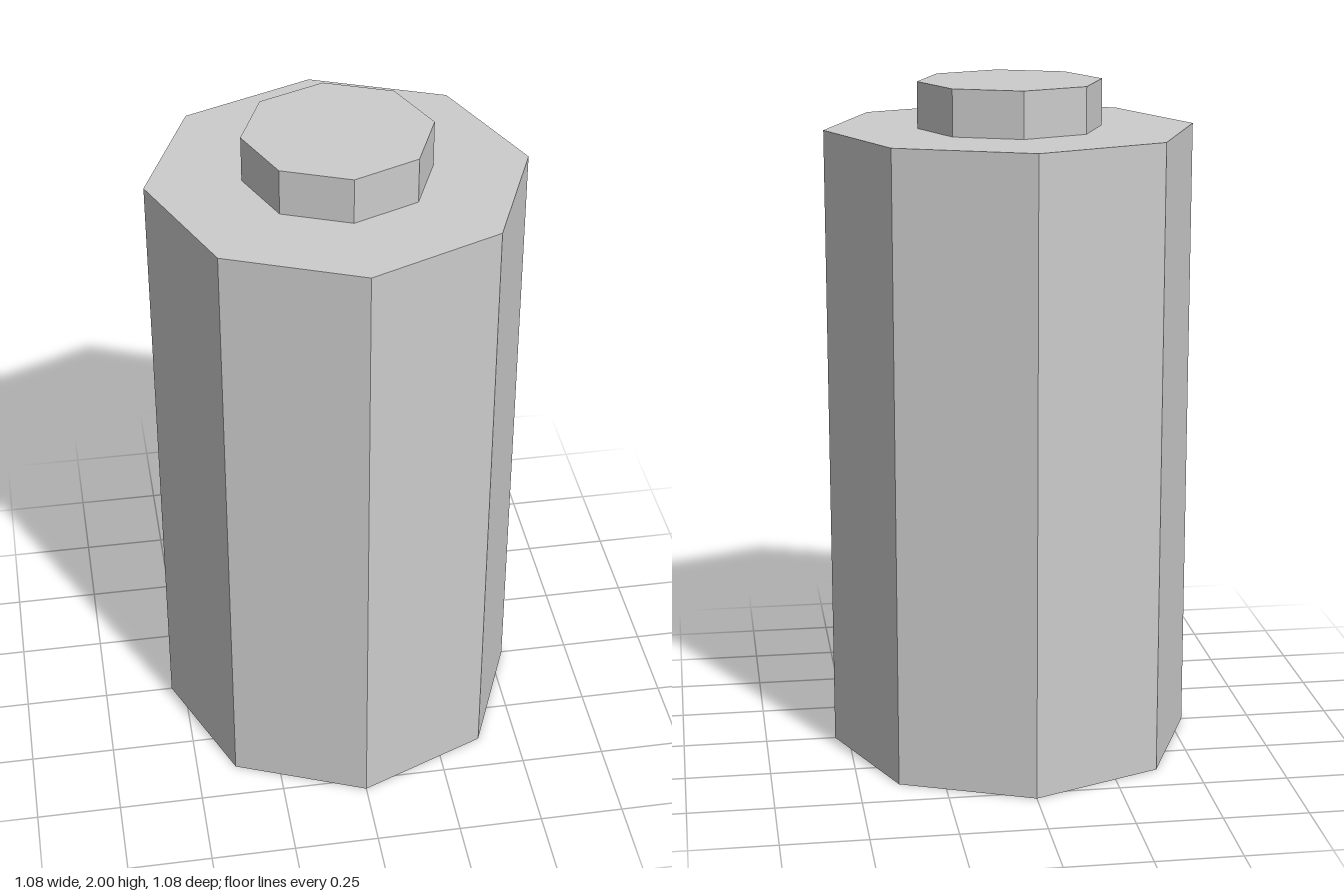
import * as THREE from 'three';

const SIDES = 8;

export function createModel() {
  const model = new THREE.Group();
  model.name = 'battery';
  const material = new THREE.MeshStandardMaterial({ color: 0xcccccc, flatShading: true });

  // Upright octagonal prism with corners on the x and z axes
  function addPrism(name, radius, bottom, top) {
    const geometry = new THREE.CylinderGeometry(radius, radius, top - bottom, SIDES);
    const mesh = new THREE.Mesh(geometry, material);
    mesh.name = name;
    mesh.position.y = (bottom + top) / 2;
    model.add(mesh);
  }

  addPrism('body', 0.541, 0, 1.865);
  addPrism('terminal', 0.27, 1.865, 2);

  return model;
}
